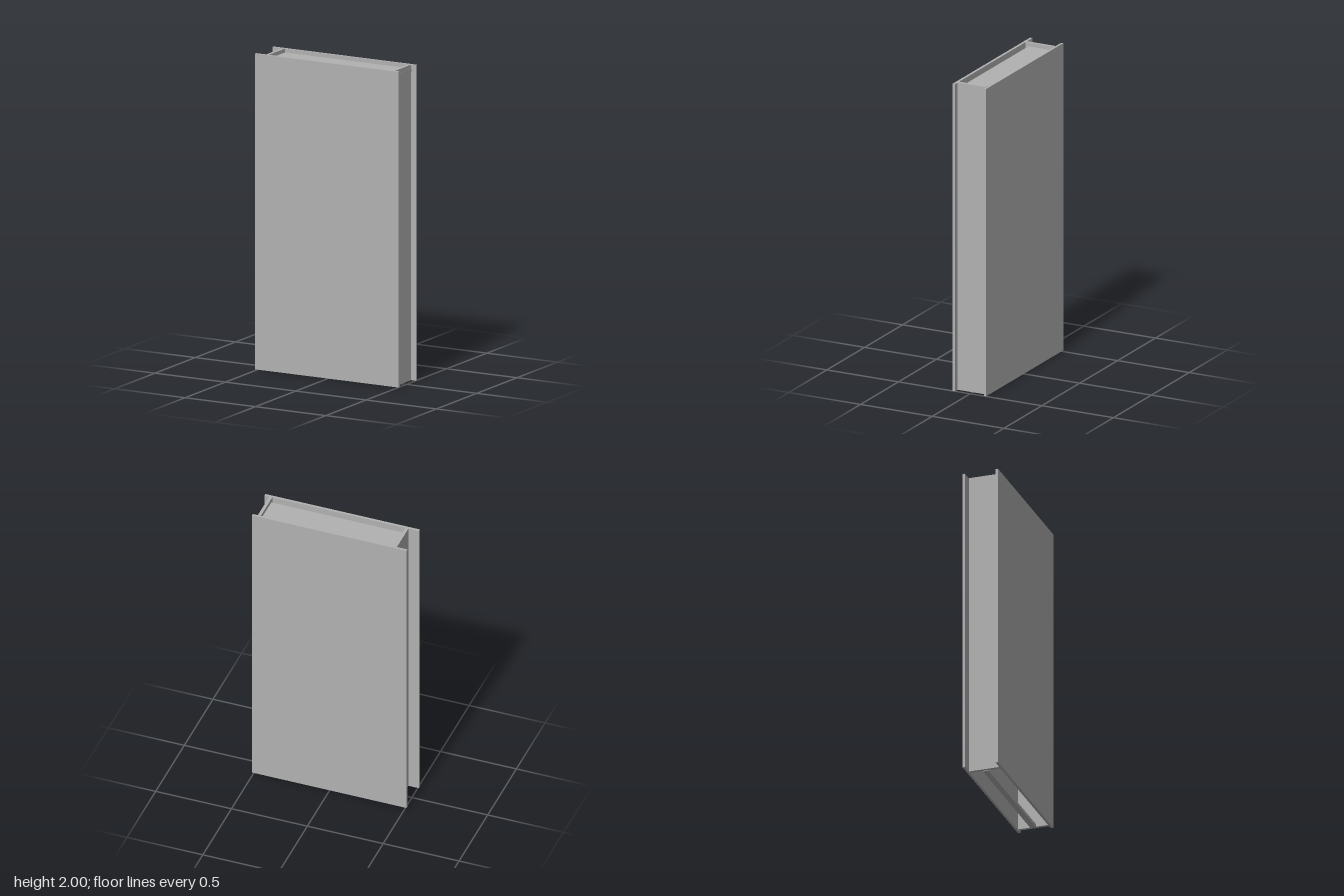
import * as THREE from 'three';

export function createModel() {
  const group = new THREE.Group();
  const grey = new THREE.MeshStandardMaterial({ color: 0xb2b2b2 });
  grey.name = 'grey';

  // Adds a board spanning the given ranges on each axis
  function board(name, [x0, x1], [y0, y1], [z0, z1]) {
    const mesh = new THREE.Mesh(new THREE.BoxGeometry(x1 - x0, y1 - y0, z1 - z0), grey);
    mesh.position.set((x0 + x1) / 2, (y0 + y1) / 2, (z0 + z1) / 2);
    mesh.name = name;
    group.add(mesh);
  }

  const height = [0.004, 2];

  // Large facing panels
  board('frontPanel', [-0.51, 0.51], height, [0.099, 0.116]);
  board('backPanel', [-0.51, 0.51], height, [-0.116, -0.101]);

  // Upright side boards between the panels, set off-centre
  board('rightSide', [-0.44, -0.42], height, [-0.098, 0.099]);
  board('leftSide', [0.457, 0.477], height, [-0.098, 0.099]);

  // Recessed top board, short of the front panel, its end just through the left side
  board('topBoard', [-0.42, 0.478], [1.955, 1.975], [-0.101, 0.08]);

  // Narrow sill along the open bottom
  board('bottomSill', [-0.42, 0.457], [0, 0.02], [-0.015, 0.022]);

  return group;
}
